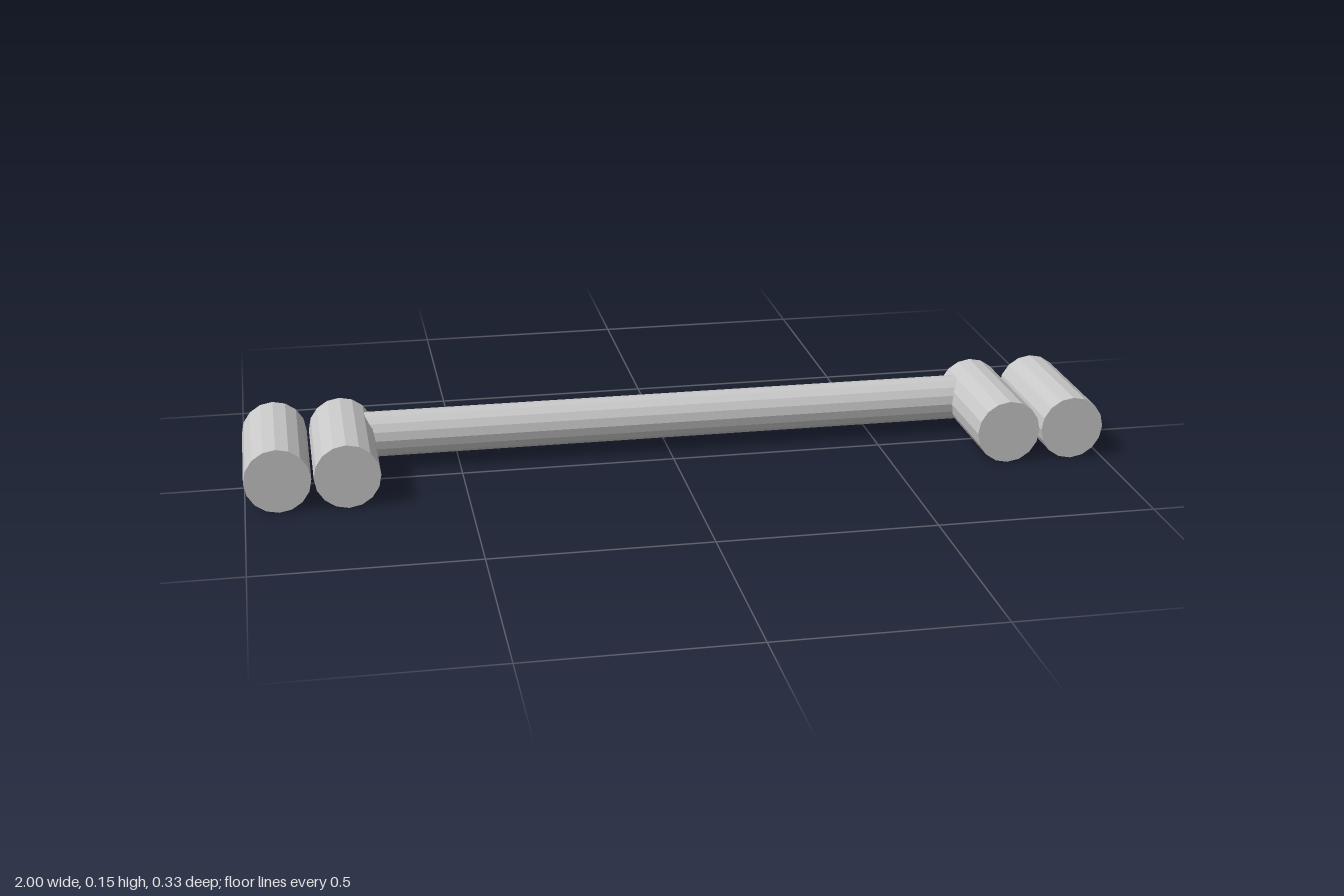
import * as THREE from 'three';

export function createModel() {
  const model = new THREE.Group();
  const steel = new THREE.MeshStandardMaterial({ color: 0xc8c8c8, flatShading: true });
  steel.name = 'light grey steel';

  // Barrel: flat front cap, chamfered rear rim around a shallow recess
  const profile = [
    [0, -0.163], [0.075, -0.163], [0.075, 0.153], [0.069, 0.163],
    [0.058, 0.163], [0.052, 0.155], [0, 0.155],
  ].map(([r, y]) => new THREE.Vector2(r, y));
  const barrelGeometry = new THREE.LatheGeometry(profile, 16);
  barrelGeometry.rotateX(-Math.PI / 2);

  // Two barrels on each side
  for (const [side, label] of [[1, 'left'], [-1, 'right']]) {
    for (const [x, place] of [[0.77, 'Inner'], [0.925, 'Outer']]) {
      const barrel = new THREE.Mesh(barrelGeometry, steel);
      barrel.name = `${label}${place}Barrel`;
      barrel.position.set(side * x, 0.075, 0);
      model.add(barrel);
    }
  }

  // Cross bar running into the inner barrels
  const barGeometry = new THREE.CylinderGeometry(0.053, 0.053, 1.5, 16);
  barGeometry.rotateZ(Math.PI / 2);
  const bar = new THREE.Mesh(barGeometry, steel);
  bar.name = 'crossBar';
  bar.position.set(0, 0.075, -0.097);
  model.add(bar);

  return model;
}
